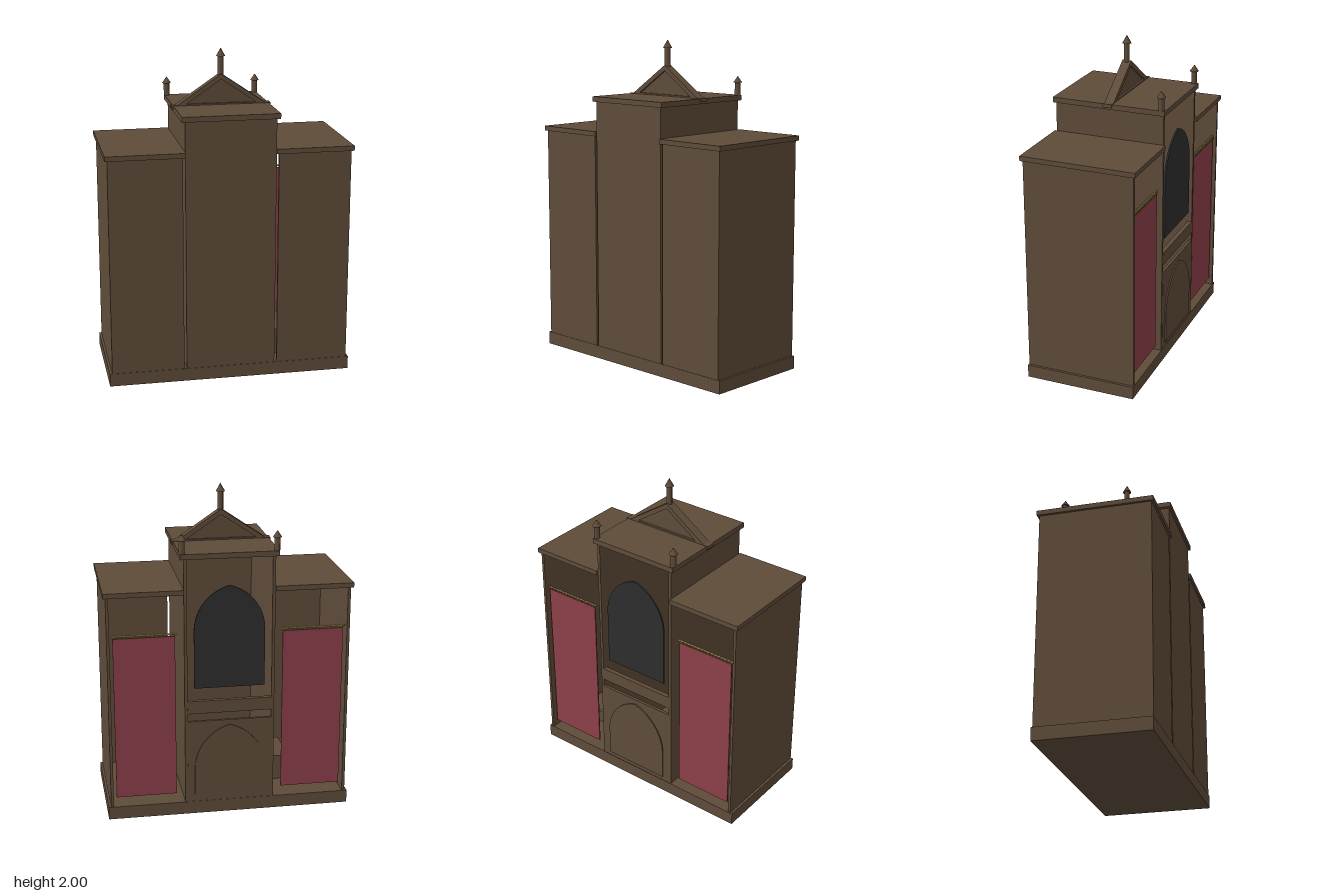
import * as THREE from 'three';

export function createModel() {
  const model = new THREE.Group();
  model.name = 'woodenBooth';

  const mat = (name, color) => {
    const m = new THREE.MeshStandardMaterial({ color });
    m.name = name;
    return m;
  };
  const wood = mat('brown wood', 0x5f4c3a);
  const cloth = mat('red curtain', 0x8e3f4a);
  const dark = mat('dark screen', 0x2e2e2f);
  const brass = mat('brass', 0xa08c50);

  const add = (name, geo, material, x = 0, y = 0, z = 0) => {
    const mesh = new THREE.Mesh(geo, material);
    mesh.name = name;
    mesh.position.set(x, y, z);
    model.add(mesh);
    return mesh;
  };
  // Box given by its limits on each axis
  const box = (name, x0, x1, y0, y1, z0, z1, material = wood) =>
    add(name, new THREE.BoxGeometry(Math.abs(x1 - x0), y1 - y0, z1 - z0), material,
      (x0 + x1) / 2, (y0 + y1) / 2, (z0 + z1) / 2);

  // Pointed arch plate: half width w, bottom, spring line and apex heights
  const archPlate = (name, w, bottom, spring, apex, z, depth, material) => {
    const h = apex - spring;
    const r = (h * h + w * w) / (2 * w);
    const a = Math.atan2(h, r - w);
    const s = new THREE.Shape();
    s.moveTo(-w, bottom);
    s.lineTo(w, bottom);
    s.lineTo(w, spring);
    s.absarc(w - r, spring, r, 0, a, false);
    s.absarc(r - w, spring, r, Math.PI - a, Math.PI, false);
    s.lineTo(-w, bottom);
    return add(name, new THREE.ExtrudeGeometry(s, { depth, bevelEnabled: false, curveSegments: 10 }),
      material, 0, 0, z);
  };

  // Octagonal post with a pointed cap
  const finial = (name, x, z, y0, yCap, yTop) => {
    add(name + 'Post', new THREE.CylinderGeometry(0.018, 0.018, yCap - y0, 8), wood, x, (y0 + yCap) / 2, z);
    add(name + 'Cap', new THREE.ConeGeometry(0.028, yTop - yCap, 8), wood, x, (yCap + yTop) / 2, z);
  };

  // Plinth
  box('base', -0.75, 0.75, 0, 0.08, -0.345, 0.345);

  // Central compartment, open at the back
  box('centreFrontPanel', -0.275, 0.275, 0.08, 1.625, 0.325, 0.342);
  box('centreRoof', -0.295, 0.295, 1.625, 1.657, -0.355, 0.355);
  box('lowerDoor', -0.257, 0.257, 0.08, 0.61, -0.343, -0.325);
  box('ledge', -0.257, 0.257, 0.66, 0.74, -0.343, -0.315);
  archPlate('doorArch', 0.215, 0.11, 0.3, 0.58, -0.351, 0.009, wood);
  archPlate('archedScreen', 0.215, 0.82, 1.18, 1.455, -0.335, 0.01, dark);

  for (const s of [-1, 1]) {
    box('centreWall', s * 0.257, s * 0.275, 0.08, 1.625, -0.342, 0.342);

    // Side compartment, open at the back
    box('sideFrontPanel', s * 0.29, s * 0.735, 0.08, 1.412, 0.325, 0.342);
    box('sideOuterWall', s * 0.718, s * 0.735, 0.08, 1.412, -0.342, 0.342);
    box('sideRoof', s * 0.275, s * 0.75, 1.412, 1.442, -0.355, 0.355);

    // Kneeler inside
    box('kneelerStep', s * 0.3, s * 0.52, 0.08, 0.16, -0.1, 0.2);
    box('kneelerShelf', s * 0.3, s * 0.42, 0.16, 0.24, -0.1, 0.2);

    // Curtain on a ringed rod
    box('curtain', s * 0.327, s * 0.698, 0.135, 1.155, -0.325, -0.317, cloth);
    const rod = add('curtainRod', new THREE.CylinderGeometry(0.006, 0.006, 0.395, 8), brass, s * 0.512, 1.168, -0.321);
    rod.rotation.z = Math.PI / 2;
    for (let i = 0; i < 16; i++) {
      const ring = add('curtainRing', new THREE.TorusGeometry(0.01, 0.003, 6, 10), brass,
        s * (0.332 + i * 0.024), 1.165, -0.321);
      ring.rotation.y = Math.PI / 2;
    }

    finial('cornerFinial', s * 0.283, -0.33, 1.655, 1.735, 1.775);
  }

  // Gable: raking boards around a recessed panel, on a bar
  const triangle = (Type, w, y0, y1) => {
    const t = new Type();
    t.moveTo(-w, y0);
    t.lineTo(w, y0);
    t.lineTo(0, y1);
    t.closePath();
    return t;
  };
  const frame = triangle(THREE.Shape, 0.28, 1.655, 1.845);
  frame.holes.push(triangle(THREE.Path, 0.215, 1.666, 1.812));
  add('gableFrame', new THREE.ExtrudeGeometry(frame, { depth: 0.056, bevelEnabled: false }), wood, 0, 0, -0.028);
  add('gablePanel', new THREE.ExtrudeGeometry(triangle(THREE.Shape, 0.25, 1.657, 1.83),
    { depth: 0.03, bevelEnabled: false }), wood, 0, 0, -0.015);
  box('gableBar', -0.305, 0.305, 1.638, 1.66, -0.028, 0.028);
  finial('topFinial', 0, 0, 1.82, 1.95, 2);

  return model;
}
